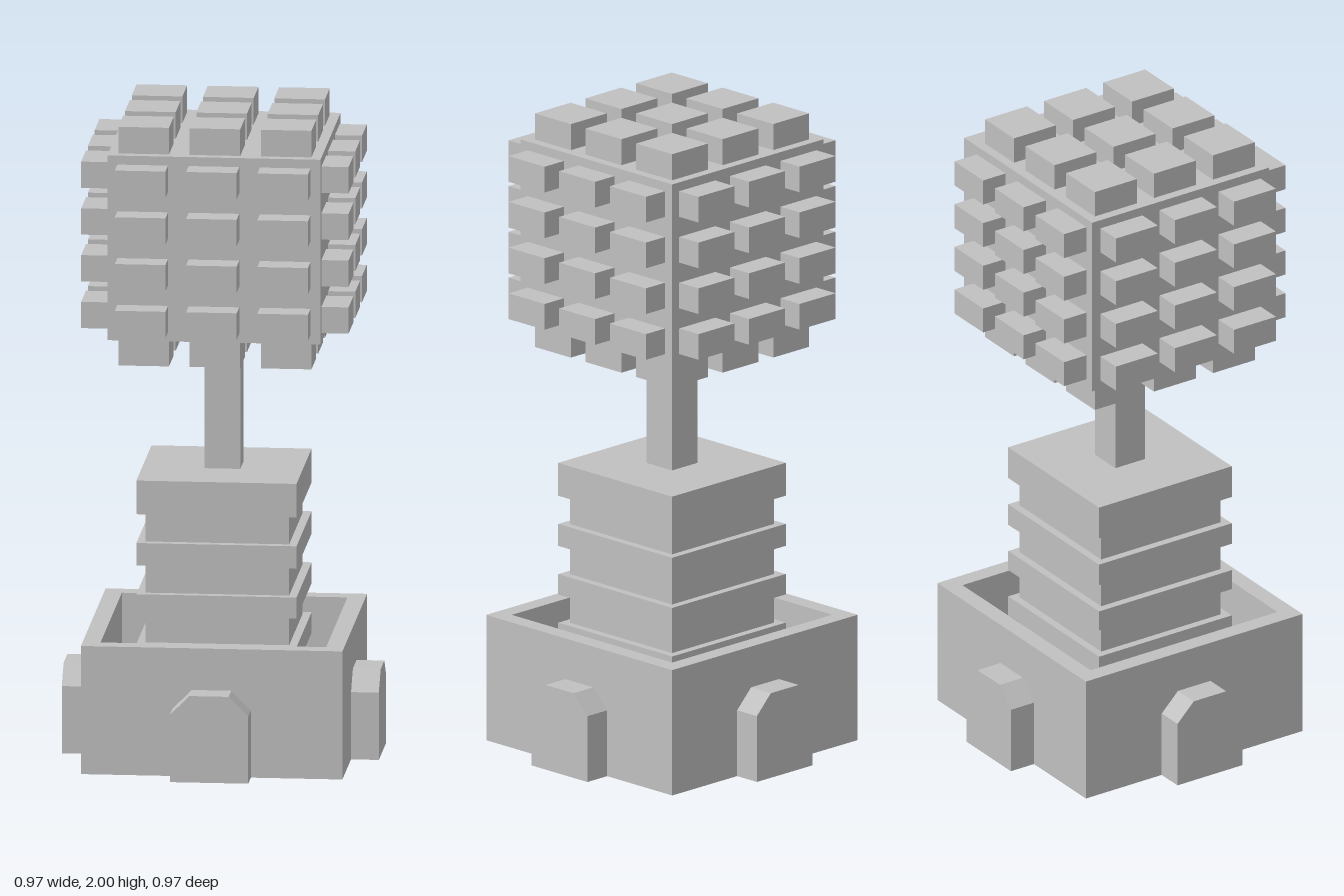
import * as THREE from 'three';

export function createModel() {
  const model = new THREE.Group();
  model.name = 'blockTower';
  const stone = new THREE.MeshStandardMaterial({ color: 0xc0c0c0 });
  stone.name = 'grey stone';

  const add = (name, geometry, parent = model) => {
    const mesh = new THREE.Mesh(geometry, stone);
    mesh.name = name;
    parent.add(mesh);
    return mesh;
  };
  // Box given by its size and its centre
  const box = (name, w, h, d, x, y, z, parent) =>
    add(name, new THREE.BoxGeometry(w, h, d).translate(x, y, z), parent);
  // Square block centred on the axis, from y0 to y1
  const block = (name, half, y0, y1) =>
    box(name, half * 2, y1 - y0, half * 2, 0, (y0 + y1) / 2, 0);

  // Planter base: solid floor and a square rim around the recess
  const square = (shape, s) =>
    shape.moveTo(-s, -s).lineTo(s, -s).lineTo(s, s).lineTo(-s, s).closePath();
  const wall = square(new THREE.Shape(), 0.4);
  wall.holes.push(square(new THREE.Path(), 0.345));
  add('baseWall', new THREE.ExtrudeGeometry(wall, { depth: 0.4, bevelEnabled: false })
    .rotateX(-Math.PI / 2));
  block('baseFloor', 0.345, 0, 0.2);

  // Ribbed pedestal
  block('pedestalCore', 0.22, 0.2, 0.8);
  [[0.31, 0.375], [0.465, 0.53], [0.62, 0.69], [0.78, 0.885]]
    .forEach(([y0, y1]) => block('pedestalSlab', 0.245, y0, y1));

  // Stem and head
  block('stem', 0.055, 0.885, 1.34);
  block('headCore', 0.326, 1.34, 1.917);

  // Arched buttress with clipped corners
  const arch = new THREE.Shape([
    [-0.12, 0], [0.12, 0], [0.12, 0.21], [0.06, 0.27], [-0.06, 0.27], [-0.12, 0.21],
  ].map(([x, y]) => new THREE.Vector2(x, y)));
  const archGeometry = new THREE.ExtrudeGeometry(arch, { depth: 0.085, bevelEnabled: false })
    .translate(0, 0, 0.4);

  // Each of the four sides: one buttress and a grid of studs on the head
  const columns = [-0.218, 0, 0.218];
  for (let i = 0; i < 4; i++) {
    const side = new THREE.Group();
    side.name = 'side';
    side.rotation.y = i * Math.PI / 2;
    add('buttress', archGeometry, side);
    for (const x of columns)
      for (let row = 0; row < 4; row++)
        box('sideStud', 0.155, 0.082, 0.09, x, 1.41 + row * 0.146, 0.364, side);
    model.add(side);
  }

  // Studs on the top and underside of the head
  for (const x of columns)
    for (const z of columns) {
      box('topStud', 0.155, 0.09, 0.155, x, 1.955, z);
      box('bottomStud', 0.155, 0.09, 0.155, x, 1.3, z);
    }

  return model;
}
